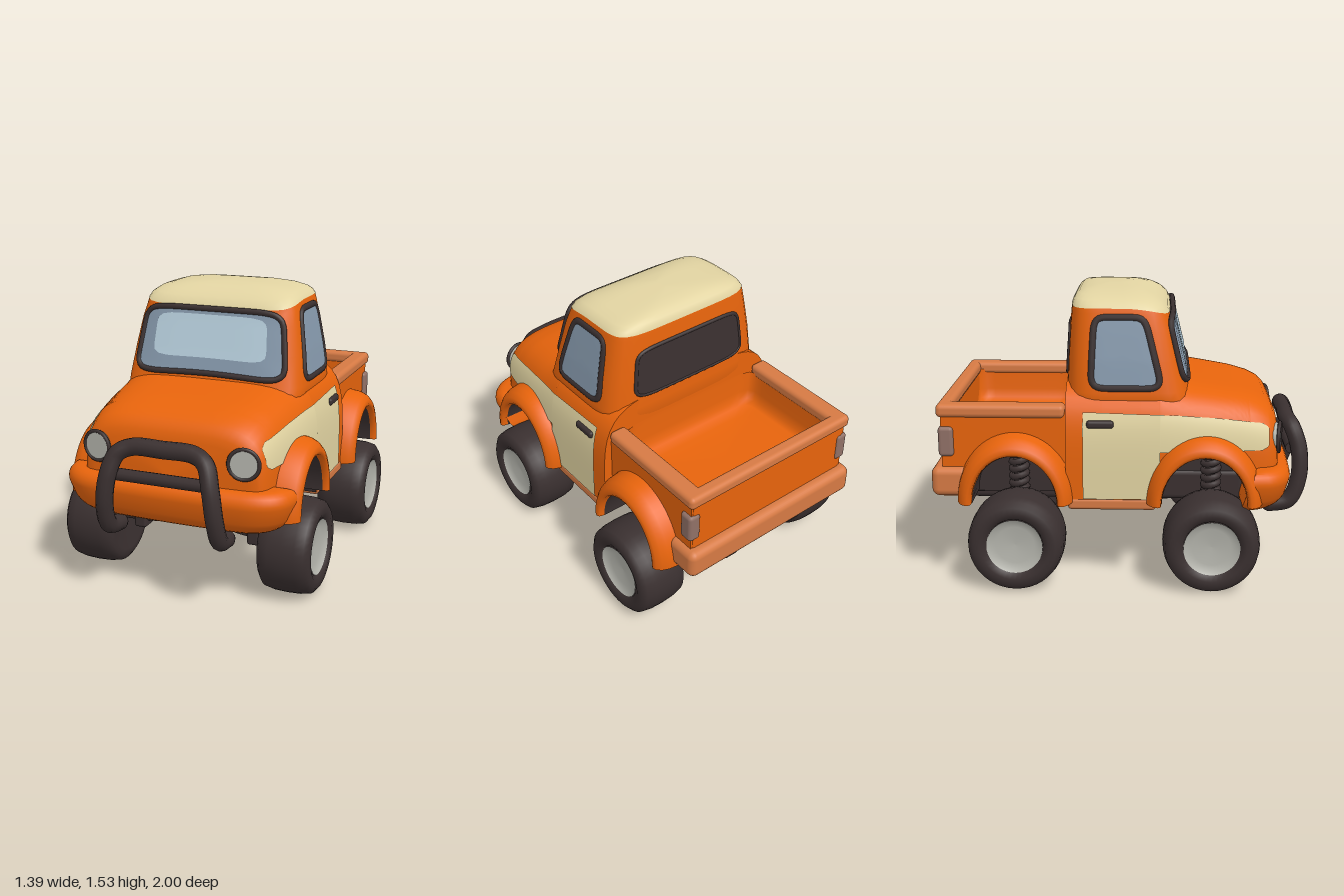
import * as THREE from 'three';
import { toCreasedNormals } from 'three/addons/utils/BufferGeometryUtils.js';
import { RoundedBoxGeometry } from 'three/addons/geometries/RoundedBoxGeometry.js';

const mat = (name, color) => new THREE.MeshStandardMaterial({ name, color, side: THREE.DoubleSide });
const V = (x, y, z) => new THREE.Vector3(x, y, z);

// Piecewise-linear lookup in rows of [key, value, value, ...]
function lookup(table, k) {
  let i = 0;
  while (i < table.length - 2 && k > table[i + 1][0]) i++;
  const a = table[i], b = table[i + 1];
  const f = THREE.MathUtils.clamp((k - a[0]) / (b[0] - a[0]), 0, 1);
  return a.slice(1).map((v, j) => v + (b[j + 1] - v) * f);
}

// Point of a unit superellipse at an angle
function squircle(a, n) {
  const c = Math.cos(a), s = Math.sin(a);
  const m = (Math.abs(c) ** n + Math.abs(s) ** n) ** (1 / n);
  return [c / m, s / m];
}
const arcOf = (u, n) => Math.max(0, 1 - Math.abs(u) ** n) ** (1 / n);

// Smooth skin over rows of points
function skin(rows, closed = false) {
  const n = rows[0].length, index = [];
  for (let i = 0; i < rows.length - 1; i++)
    for (let j = 0; j < (closed ? n : n - 1); j++) {
      const a = i * n + j, b = i * n + (j + 1) % n, c = b + n, d = a + n;
      index.push(a, b, c, a, c, d);
    }
  const g = new THREE.BufferGeometry().setFromPoints(rows.flat());
  g.setIndex(index);
  g.computeVertexNormals();
  return g;
}

// Lower body: half width and top height along z
const BODY = [[-0.29, 0.57, 1.1], [0.2, 0.57, 1.1], [0.34, 0.56, 1.06], [0.45, 0.55, 1.043], [0.6, 0.532, 1.018],
  [0.7, 0.517, 0.99], [0.76, 0.503, 0.96], [0.79, 0.488, 0.932], [0.81, 0.465, 0.897], [0.82, 0.42, 0.86]];
const BASE = 0.45, BN = 5;
const bodyX = (y, z) => {
  const [w, t] = lookup(BODY, z);
  return w * arcOf((y - BASE) / (t - BASE), BN);
};
const ARCH = 0.43;
const bodyBottom = z => {
  const d = Math.abs(z - ARCH) / 0.235;
  return d < 1 ? 0.47 + 0.27 * Math.sqrt(1 - d * d) : BASE;
};

// Cab: half width, front z and back z along y
const CAB = [[0.96, 0.5, 0.385, -0.29], [1.0, 0.505, 0.37, -0.297], [1.04, 0.506, 0.35, -0.297], [1.2, 0.482, 0.308, -0.29],
  [1.35, 0.453, 0.272, -0.28], [1.44, 0.434, 0.252, -0.273], [1.465, 0.426, 0.245, -0.27]];
const ROOF = [[1.465, 0.428, 0.247, -0.272], [1.485, 0.414, 0.235, -0.266], [1.503, 0.385, 0.21, -0.254],
  [1.519, 0.325, 0.17, -0.235], [1.531, 0.23, 0.11, -0.2], [1.537, 0.13, 0.06, -0.15], [1.54, 0, 0, -0.08]];
const CN = 6;
const cabRow = ([y, hx, zf, zb]) => Array.from({ length: 64 }, (_, j) => {
  const [c, s] = squircle(j / 64 * Math.PI * 2, CN);
  const z = (zf + zb) / 2 - s * (zf - zb) / 2;
  const dip = y > 1.4 && z > 0 ? 0.04 * (z / 0.25) ** 2 : 0;
  return V(c * hx, y - dip, z);
});
const cabZ = (dir, off) => (x, y) => {
  const [hx, zf, zb] = lookup(CAB, y);
  return V(x, y, (zf + zb) / 2 + dir * ((zf - zb) / 2 * arcOf(x / hx, CN) + off));
};
const cabSide = off => (z, y) => {
  const [hx, zf, zb] = lookup(CAB, y);
  return V(hx * arcOf((z - (zf + zb) / 2) / ((zf - zb) / 2), CN) + off, y, z);
};

// Rounded four-cornered outline laid on a surface; corners run bl, br, tr, tl
function outline(project, corners, r, count = 48) {
  return Array.from({ length: count }, (_, j) => {
    const [a, b] = squircle(j / count * Math.PI * 2, 7).map(v => (v * r + 1) / 2);
    const mix = k => (corners[0][k] * (1 - a) + corners[1][k] * a) * (1 - b) + (corners[3][k] * (1 - a) + corners[2][k] * a) * b;
    return project(mix(0), mix(1));
  });
}
const pane = (project, corners) => skin([1, 0.8, 0.6, 0.4, 0.2, 0].map(r => outline(project, corners, r)), true);
const trim = (project, corners, radius) =>
  new THREE.TubeGeometry(new THREE.CatmullRomCurve3(outline(project, corners, 1), true), 96, radius, 8, true);

// Lathe about the x axis; profile rows are [radius, x]
function latheX(profile, from = 0, sweep = Math.PI * 2, seg = 40) {
  return new THREE.LatheGeometry(profile.map(p => new THREE.Vector2(...p)), seg, from, sweep).rotateZ(-Math.PI / 2);
}

export function createModel() {
  const truck = new THREE.Group();
  truck.name = 'pickupTruck';
  const orange = mat('orange paint', 0xe8640c), pale = mat('pale orange trim', 0xd67a44), cream = mat('cream paint', 0xe2d4a2);
  const dark = mat('dark rubber', 0x3a3030), glass = mat('window glass', 0x8699ac), shine = mat('glass highlight', 0xb8d0de);
  const grey = mat('light grey', 0xb4b4ac), lamp = mat('tail lamp', 0x907066);

  const add = (name, geometry, material, x = 0, y = 0, z = 0) => {
    const m = new THREE.Mesh(geometry, material);
    m.name = name;
    m.position.set(x, y, z);
    truck.add(m);
    return m;
  };
  // Same part on both sides
  const pair = (name, geometry, material, x = 0, y = 0, z = 0) => {
    add(name + 'Left', geometry, material, x, y, z);
    add(name + 'Right', geometry, material, -x, y, z).scale.x = -1;
  };
  const box = (w, h, d, r = 0.015) => new RoundedBoxGeometry(w, h, d, 3, r);

  // Lower body and hood, with a dark underside that follows the wheel arches
  const zs = [-0.29, -0.1, 0.1, 0.19];
  for (let i = 0; i <= 18; i++) zs.push(ARCH - 0.2351 * Math.cos(i / 18 * Math.PI));
  zs.push(0.7, 0.73, 0.76, 0.775, 0.79, 0.8, 0.81, 0.82);
  const bodyRows = zs.map(z => {
    const [w, t] = lookup(BODY, z), h = t - BASE, u = (bodyBottom(z) - BASE) / h;
    const start = Math.atan2(u, arcOf(u, BN));
    return Array.from({ length: 49 }, (_, j) => {
      const [c, s] = squircle(start + (Math.PI - 2 * start) * j / 48, BN);
      return V(c * w, BASE + s * h, z);
    });
  });
  const closeTo = (row, z) => row.map(() => V(0, 0.68, z));
  add('lowerBody', skin([...bodyRows, closeTo(bodyRows.at(-1), 0.845)]), orange);
  add('bodyBack', skin([closeTo(bodyRows[0], -0.29), bodyRows[0]]), orange);
  add('underside', skin(bodyRows.map(r => [r.at(-1), r[0]])), dark);

  // Cab and roof
  add('cab', skin(CAB.map(cabRow), true), orange);
  add('roof', skin(ROOF.map(cabRow), true), cream);

  // Cream side panels
  const panelRows = [-0.2, -0.05, 0.1, 0.198, 0.2, 0.3, 0.4, 0.5, 0.6, 0.68, 0.73, 0.755, 0.765].map(z => {
    const end = Math.max(0, (z - 0.73) / 0.035) ** 2 * 0.025;
    const top = lookup([[-0.2, 0.95], [0.25, 0.938], [0.55, 0.91], [0.765, 0.875]], z)[0] - end;
    const low = (z < 0.199 ? 0.49 : 0.745) + end;
    return Array.from({ length: 13 }, (_, j) => {
      const y = low + (top - low) * j / 12;
      return V(bodyX(y, z) + 0.007, y, z);
    });
  });
  pair('sidePanel', skin(panelRows), cream);
  pair('doorHandle', box(0.035, 0.04, 0.14), dark, 0.558, 0.89, -0.11);
  pair('sill', box(0.1, 0.065, 0.46, 0.02), pale, 0.525, 0.46, -0.05);

  // Windows and their frames
  const screen = [[-0.43, 1.07], [0.43, 1.07], [0.385, 1.42], [-0.385, 1.42]];
  const bow = f => (x, y) => f(x, y + 0.02 * (1 - (x / 0.43) ** 2) * (1.42 - y) / 0.35);
  add('windshield', pane(bow(cabZ(1, 0.01)), screen), glass);
  add('windshieldHighlight', pane(bow(cabZ(1, 0.016)), [[-0.325, 1.155], [0.325, 1.155], [0.31, 1.39], [-0.31, 1.39]]), shine);
  add('windshieldFrame', trim(bow(cabZ(1, 0.006)), screen, 0.016), dark);
  const side = [[0.205, 1.065], [-0.16, 1.065], [-0.143, 1.42], [0.115, 1.42]];
  pair('sideWindow', pane(cabSide(0.005), side), glass);
  pair('sideWindowFrame', trim(cabSide(-0.009), side, 0.021), dark);
  const rear = [[0.36, 1.1], [-0.36, 1.1], [-0.33, 1.37], [0.33, 1.37]];
  add('rearWindow', pane(cabZ(-1, 0.006), rear), dark);
  add('rearWindowFrame', trim(cabZ(-1, 0), rear, 0.01), dark);

  // Cargo bed: outer sides with arches, and a dished tub
  const bedSide = new THREE.Shape();
  bedSide.moveTo(0.28, 0.48).lineTo(0.33, 0.48);
  bedSide.absellipse(0.555, 0.48, 0.225, 0.25, Math.PI, 0, true);
  bedSide.lineTo(0.94, 0.48).lineTo(0.94, 0.94).lineTo(0.28, 0.94);
  const bedSkin = new THREE.ExtrudeGeometry(bedSide, { depth: 0.03, bevelEnabled: false, curveSegments: 20 });
  pair('bedSide', bedSkin.rotateY(Math.PI / 2), orange, 0.49);
  const tub = [[1, 0.94], [0.985, 0.82], [0.96, 0.77], [0.9, 0.745], [0.7, 0.735], [0.35, 0.73], [0, 0.73]];
  add('bedTub', skin(tub.map(([r, y]) => Array.from({ length: 64 }, (_, j) => {
    const [c, s] = squircle(j / 64 * Math.PI * 2, 14);
    return V(c * r * 0.445, y, -0.6 - s * r * 0.31);
  })), true), orange);
  pair('bedWellLining', box(0.01, 0.26, 0.62, 0.004), dark, 0.38, 0.59, -0.6);
  pair('bedRail', box(0.1, 0.07, 0.66, 0.025), pale, 0.487, 0.945, -0.625);
  add('tailgate', box(1.03, 0.46, 0.05, 0.02), orange, 0, 0.71, -0.92);
  add('tailgateRail', box(1.074, 0.07, 0.075, 0.025), pale, 0, 0.945, -0.925);
  pair('tailLamp', box(0.07, 0.16, 0.08, 0.02), lamp, 0.503, 0.78, -0.915);
  add('rearBumper', box(1.11, 0.16, 0.2, 0.04), pale, 0, 0.563, -0.898);

  // Front bumper: rounded plan, tucked in toward the bottom
  const plan = new THREE.Shape();
  plan.moveTo(-0.56, 0.72).lineTo(0.56, 0.72);
  plan.quadraticCurveTo(0.54, 0.815, 0.4, 0.825).quadraticCurveTo(0, 0.85, -0.4, 0.825);
  plan.quadraticCurveTo(-0.54, 0.815, -0.56, 0.72);
  const bumper = new THREE.ExtrudeGeometry(plan, { depth: 0.08, bevelThickness: 0.08, bevelSize: 0.07, bevelSegments: 6, curveSegments: 10 });
  bumper.rotateX(Math.PI / 2).translate(0, 0.57, 0);
  const p = bumper.attributes.position;
  for (let i = 0; i < p.count; i++) {
    const k = ((0.65 - p.getY(i)) / 0.24) ** 2;
    p.setXYZ(i, p.getX(i) * (1 - 0.12 * k), p.getY(i), p.getZ(i) - 0.06 * k);
  }
  add('frontBumper', toCreasedNormals(bumper, 0.9), orange);

  // Headlights, turned slightly outward
  const turn = g => g.rotateY(0.18);
  pair('headlight', turn(new THREE.CylinderGeometry(0.076, 0.076, 0.11, 32).rotateX(Math.PI / 2)), grey, 0.392, 0.785, 0.776);
  pair('headlightRing', turn(new THREE.TorusGeometry(0.077, 0.01, 8, 36)), dark, 0.401, 0.785, 0.826);

  // Bull bar
  const half = [[0.3, 0.375, 0.8], [0.305, 0.4, 0.9], [0.3, 0.52, 0.95], [0.278, 0.68, 0.95], [0.24, 0.79, 0.915], [0.17, 0.825, 0.89]];
  const barPath = [...half.map(([x, y, z]) => V(-x, y, z)), V(0, 0.83, 0.89), ...half.reverse().map(q => V(...q))];
  add('bullBar', new THREE.TubeGeometry(new THREE.CatmullRomCurve3(barPath), 90, 0.045, 12), dark);
  add('bullBarCrossbar', new THREE.CylinderGeometry(0.032, 0.032, 0.52, 12).rotateZ(Math.PI / 2), dark, 0, 0.68, 0.91);
  pair('bullBarEnd', new THREE.SphereGeometry(0.045, 12, 8), dark, 0.3, 0.375, 0.8);

  // Wheels, fenders, springs and axles
  const tire = latheX([[0.14, 0.1], [0.15, 0.128], [0.18, 0.142], [0.215, 0.139], [0.242, 0.118], [0.252, 0.07], [0.255, 0],
    [0.252, -0.07], [0.242, -0.118], [0.215, -0.137], [0.18, -0.14], [0, -0.12]].reverse());
  const hub = latheX([[0, 0.1], [0.1, 0.105], [0.135, 0.12], [0.147, 0.129]].reverse());
  const fender = latheX([[0.262, 0.4], [0.262, 0.615], [0.268, 0.637], [0.285, 0.645], [0.31, 0.638], [0.335, 0.615], [0.352, 0.58], [0.362, 0.52]],
    Math.PI, Math.PI, 32).scale(1, 1, 0.85);
  const liner = latheX([[0.259, 0.37], [0.259, 0.61]], Math.PI, Math.PI, 32).scale(1, 1, 0.85);
  const coil = new THREE.TorusGeometry(0.04, 0.018, 8, 18).rotateX(1.35);
  const arm = new THREE.TubeGeometry(new THREE.CatmullRomCurve3([V(0.44, 0.285, 0), V(0.22, 0.3, 0), V(0.1, 0.355, 0), V(0, 0.365, 0)]), 24, 0.032, 8);
  for (const [end, zw, za] of [['front', 0.47, ARCH], ['rear', -0.55, -0.555]]) {
    pair(end + 'Tire', tire, dark, 0.552, 0.262, zw);
    pair(end + 'Hub', hub, grey, 0.552, 0.262, zw);
    pair(end + 'Fender', fender, orange, 0, 0.47, za);
    pair(end + 'WheelWell', liner, dark, 0, 0.47, za);
    for (let i = 0; i < 8; i++) pair(end + 'Spring' + i, coil, dark, 0.415, 0.41 + i * 0.04, zw);
    pair(end + 'Axle', arm, dark, 0, 0, zw);
    pair(end + 'AxleBlock', box(0.07, 0.11, 0.1), dark, 0.33, 0.285, zw);
    add(end + 'Differential', new THREE.SphereGeometry(0.065, 16, 10), dark, 0, 0.375, zw);
    pair(end + 'ShockMount', box(0.08, 0.08, 0.09), dark, 0.33, 0.4, zw);
  }

  // Chassis
  add('chassis', box(0.74, 0.17, 1.5, 0.03), dark, 0, 0.5, -0.1);
  add('frontInnerWell', box(0.72, 0.28, 0.56), dark, 0, 0.6, 0.42);
  add('driveShaft', new THREE.CylinderGeometry(0.03, 0.03, 1.02, 10).rotateX(Math.PI / 2), dark, 0, 0.39, -0.04);
  pair('frameRail', box(0.09, 0.06, 0.5), dark, 0.22, 0.405, 0.0);
  pair('rearBracket', box(0.09, 0.08, 0.15), dark, 0.22, 0.43, -0.85);
  return truck;
}
